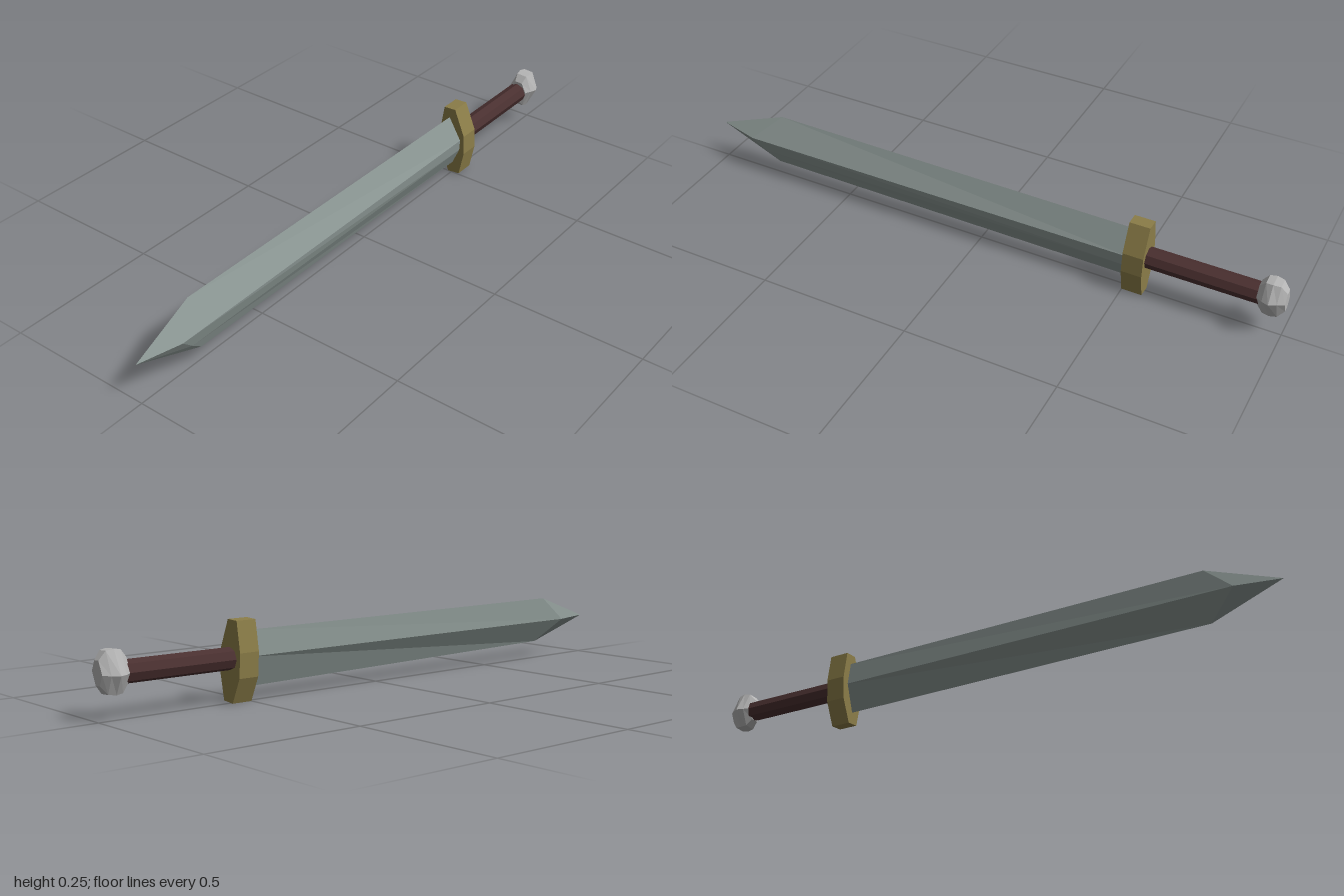
import * as THREE from 'three';

// Skin counter-clockwise rings running from -z to +z, with both ends capped
function loft(rings) {
  const pos = [];
  const tri = (...p) => {
    const [a, b, c] = p.map((q) => new THREE.Vector3(...q));
    if (b.sub(a).cross(c.sub(a)).length() > 1e-9) pos.push(...p.flat());
  };
  const n = rings[0].length;
  for (let i = 0; i < rings.length - 1; i++) {
    for (let j = 0; j < n; j++) {
      const k = (j + 1) % n;
      tri(rings[i][j], rings[i][k], rings[i + 1][k]);
      tri(rings[i][j], rings[i + 1][k], rings[i + 1][j]);
    }
  }
  const back = rings[0], front = rings[rings.length - 1];
  for (let j = 1; j < n - 1; j++) {
    tri(back[0], back[j + 1], back[j]);
    tri(front[0], front[j], front[j + 1]);
  }
  const g = new THREE.BufferGeometry();
  g.setAttribute('position', new THREE.Float32BufferAttribute(pos, 3));
  g.computeVertexNormals();
  return g;
}

export function createModel() {
  const group = new THREE.Group();
  const add = (name, geometry, color) => {
    const mesh = new THREE.Mesh(geometry, new THREE.MeshStandardMaterial({ color, flatShading: true }));
    mesh.name = name;
    group.add(mesh);
    return mesh;
  };

  // Blade: slightly twisted diamond section, order right, top, left, bottom, lower right
  const base = [[0.03, 0.137, -0.52], [-0.016, 0.213, -0.52], [-0.029, 0.136, -0.52],
    [0.003, 0.042, -0.52], [0.028, 0.099, -0.52]];
  const shoulder = [[0.034, 0.137, 0.86], [-0.026, 0.214, 0.77], [-0.037, 0.134, 0.86],
    [0.012, 0.057, 0.77], [0.024, 0.095, 0.815]];
  const tip = base.map(() => [-0.006, 0.135, 1]);
  add('blade', loft([base, shoulder, tip]), 0x87928f);

  // Guard: leaning eight-sided plate
  const outline = [[-0.038, 0.246], [-0.053, 0.153], [-0.048, 0.078], [-0.013, 0.001],
    [0.03, 0.005], [0.047, 0.089], [0.044, 0.156], [0.005, 0.248]];
  add('guard', loft([-0.567, -0.5].map((z) => outline.map(([x, y]) => [x, y, z]))), 0x8b7d48);

  // Grip
  const grip = new THREE.CylinderGeometry(0.034, 0.034, 0.38, 8);
  grip.rotateX(Math.PI / 2);
  add('grip', grip, 0x4a3030).position.set(-0.002, 0.133, -0.74);

  // Pommel: faceted six-sided knob, each ring is z, x scale, y scale
  const section = [[0.054, 0.006], [0.026, 0.062], [-0.018, 0.064],
    [-0.054, -0.006], [-0.026, -0.062], [0.018, -0.064]];
  const knob = [[-1, 0.5, 0.55], [-0.98, 0.78, 0.95], [-0.957, 1, 1], [-0.935, 0.85, 0.95], [-0.916, 0.62, 0.6]];
  add('pommel', loft(knob.map(([z, sx, sy]) => section.map(([x, y]) => [x * sx, 0.137 + y * sy, z]))), 0xb4b4b4);

  return group;
}
